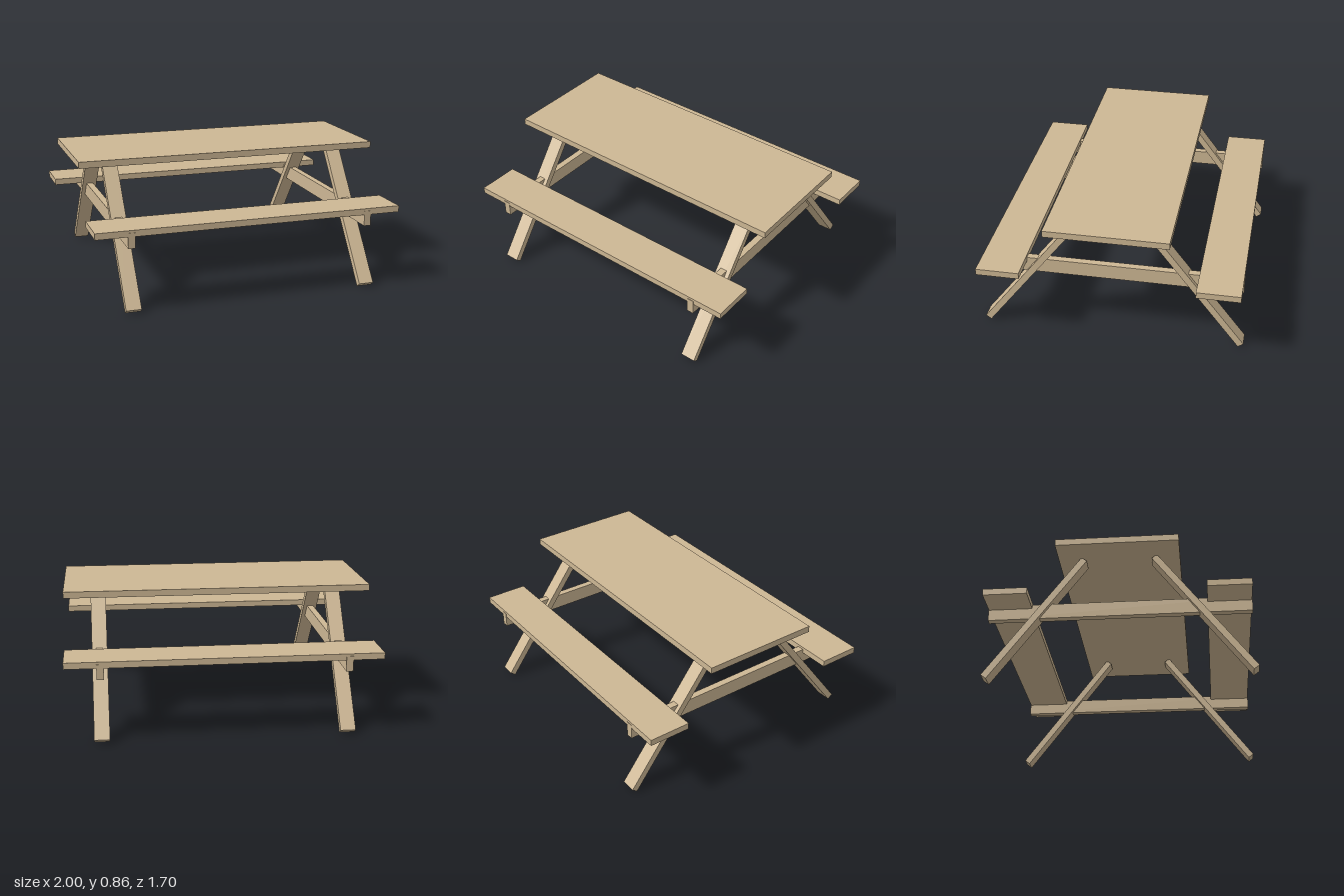
import * as THREE from 'three';

export function createModel() {
  const table = new THREE.Group();
  table.name = 'picnicTable';
  const wood = new THREE.MeshStandardMaterial({ color: 0xcdb794 });
  wood.name = 'paleWood';

  function board(name, size, position, tilt = 0) {
    const mesh = new THREE.Mesh(new THREE.BoxGeometry(...size), wood);
    mesh.name = name;
    mesh.position.set(...position);
    mesh.rotation.x = tilt;
    table.add(mesh);
  }

  // Table top
  board('tableTop', [2, 0.042, 0.776], [0, 0.839, 0]);

  // Benches along the front and back
  for (const [side, s] of [['front', 1], ['back', -1]]) {
    board(side + 'Bench', [2, 0.041, 0.276], [0, 0.505, s * 0.69]);
  }

  // End frames: a cross beam carrying the benches and two splayed legs
  const legTilt = Math.atan2(0.608, 0.8);
  for (const [end, e] of [['left', 1], ['right', -1]]) {
    const x = e * 0.777;
    board(end + 'CrossBeam', [0.045, 0.098, 1.662], [x, 0.461, 0]);
    for (const [side, s] of [['Front', 1], ['Back', -1]]) {
      board(end + side + 'Leg', [0.098, 1.005, 0.0425], [x, 0.413, s * 0.529], -s * legTilt);
    }
  }
  return table;
}
